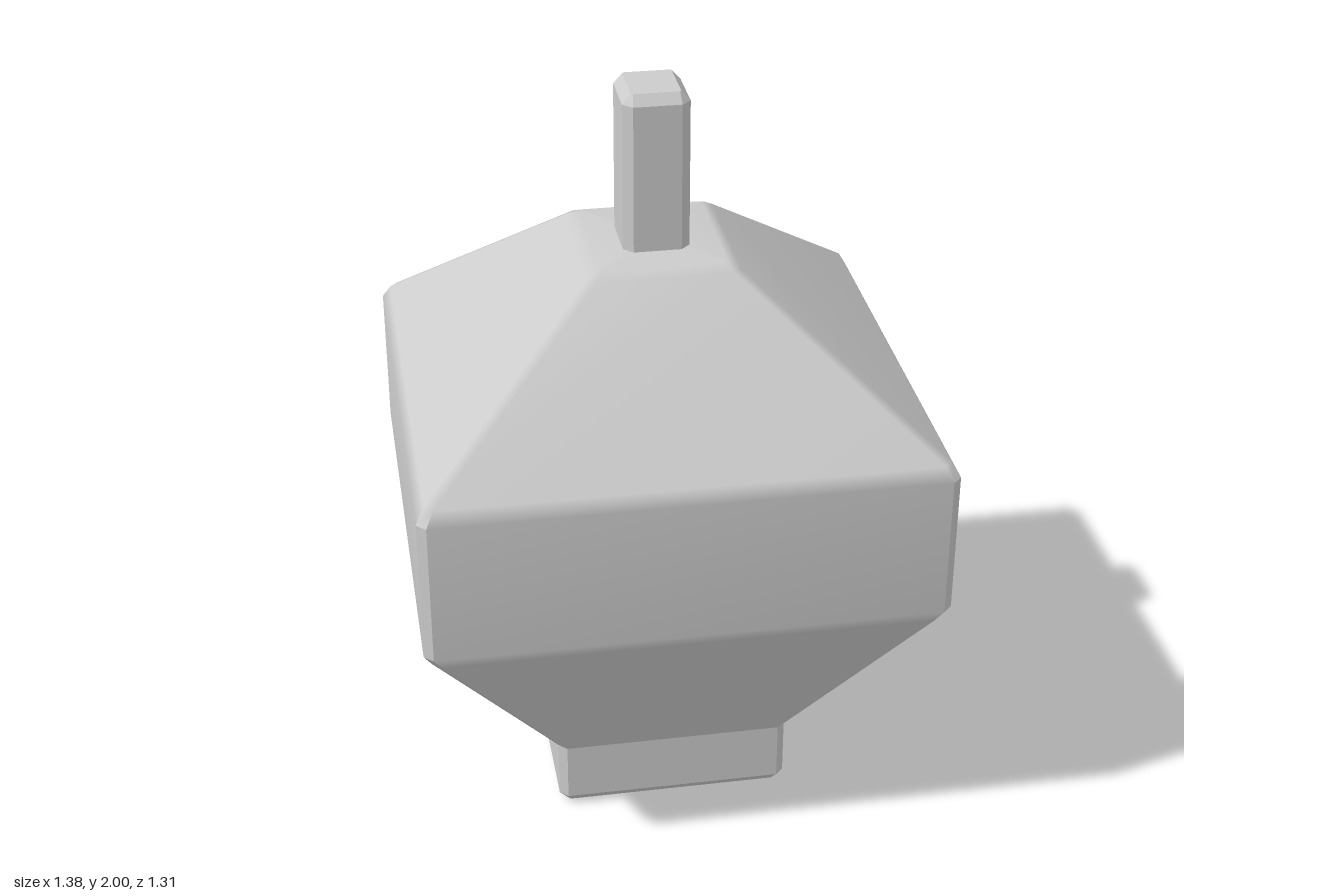
import * as THREE from 'three';

const material = new THREE.MeshStandardMaterial({ color: 0xcccccc });

// Corners of a rectangle with cut corners, counter-clockwise seen from above
function ring([y, hx, hz, c]) {
  const x = hx - c, z = hz - c;
  return [[hx, z], [hx, -z], [x, -hz], [-x, -hz], [-hx, -z], [-hx, z], [-x, hz], [x, hz]]
    .map(([px, pz]) => new THREE.Vector3(px, y, pz));
}

// Area-weighted normals, smooth only across edges gentler than the crease angle
function creaseNormals(geometry, degrees) {
  const pos = geometry.attributes.position;
  const limit = Math.cos(THREE.MathUtils.degToRad(degrees));
  const shared = new Map(), faces = [], keys = [];
  for (let i = 0; i < pos.count; i += 3) {
    const [a, b, c] = [0, 1, 2].map(k => new THREE.Vector3().fromBufferAttribute(pos, i + k));
    const weighted = b.clone().sub(a).cross(c.clone().sub(a));
    const face = { weighted, unit: weighted.clone().normalize() };
    for (const p of [a, b, c]) {
      const key = p.toArray().map(v => Math.round(v * 1e4)).join();
      if (!shared.has(key)) shared.set(key, []);
      shared.get(key).push(face);
      keys.push(key);
      faces.push(face);
    }
  }
  const normals = [];
  keys.forEach((key, i) => {
    const n = new THREE.Vector3();
    for (const f of shared.get(key)) if (f.unit.dot(faces[i].unit) > limit) n.add(f.weighted);
    normals.push(...n.normalize().toArray());
  });
  geometry.setAttribute('normal', new THREE.Float32BufferAttribute(normals, 3));
}

// Closed solid through levels of [y, half width, half depth, corner cut]
function loft(name, levels, crease) {
  const rings = levels.map(ring), points = [];
  const tri = (...p) => p.forEach(v => points.push(v.x, v.y, v.z));
  for (let j = 0; j < 8; j++) {
    const k = (j + 1) % 8;
    for (let i = 0; i < rings.length - 1; i++) {
      const lo = rings[i], hi = rings[i + 1];
      tri(lo[j], lo[k], hi[k]);
      tri(lo[j], hi[k], hi[j]);
    }
    const bottom = rings[0], top = rings[rings.length - 1];
    tri(new THREE.Vector3(0, bottom[0].y, 0), bottom[k], bottom[j]);
    tri(new THREE.Vector3(0, top[0].y, 0), top[j], top[k]);
  }
  const geometry = new THREE.BufferGeometry();
  geometry.setAttribute('position', new THREE.Float32BufferAttribute(points, 3));
  creaseNormals(geometry, crease);
  const mesh = new THREE.Mesh(geometry, material);
  mesh.name = name;
  return mesh;
}

export function createModel() {
  const group = new THREE.Group();
  group.name = 'spinningTop';

  // Square foot, bevelled underneath
  group.add(loft('foot', [
    [0, 0.298, 0.348, 0.01],
    [0.028, 0.32, 0.37, 0.022],
    [0.195, 0.32, 0.37, 0.022],
  ], 20));

  // Body: flared lower half, upright band and pyramid roof with soft bevels
  group.add(loft('body', [
    [0.195, 0.32, 0.37, 0.022],
    [0.705, 0.67, 0.637, 0.024],
    [0.74, 0.69, 0.653, 0.024],
    [1.135, 0.69, 0.653, 0.024],
    [1.173, 0.668, 0.633, 0.022],
    [1.555, 0.2, 0.222, 0.02],
    [1.572, 0.168, 0.188, 0.012],
  ], 35));

  // Upright stem handle, bevelled at the tip
  group.add(loft('stem', [
    [1.56, 0.088, 0.098, 0.025],
    [1.973, 0.088, 0.098, 0.025],
    [2, 0.064, 0.076, 0.004],
  ], 20));

  return group;
}
